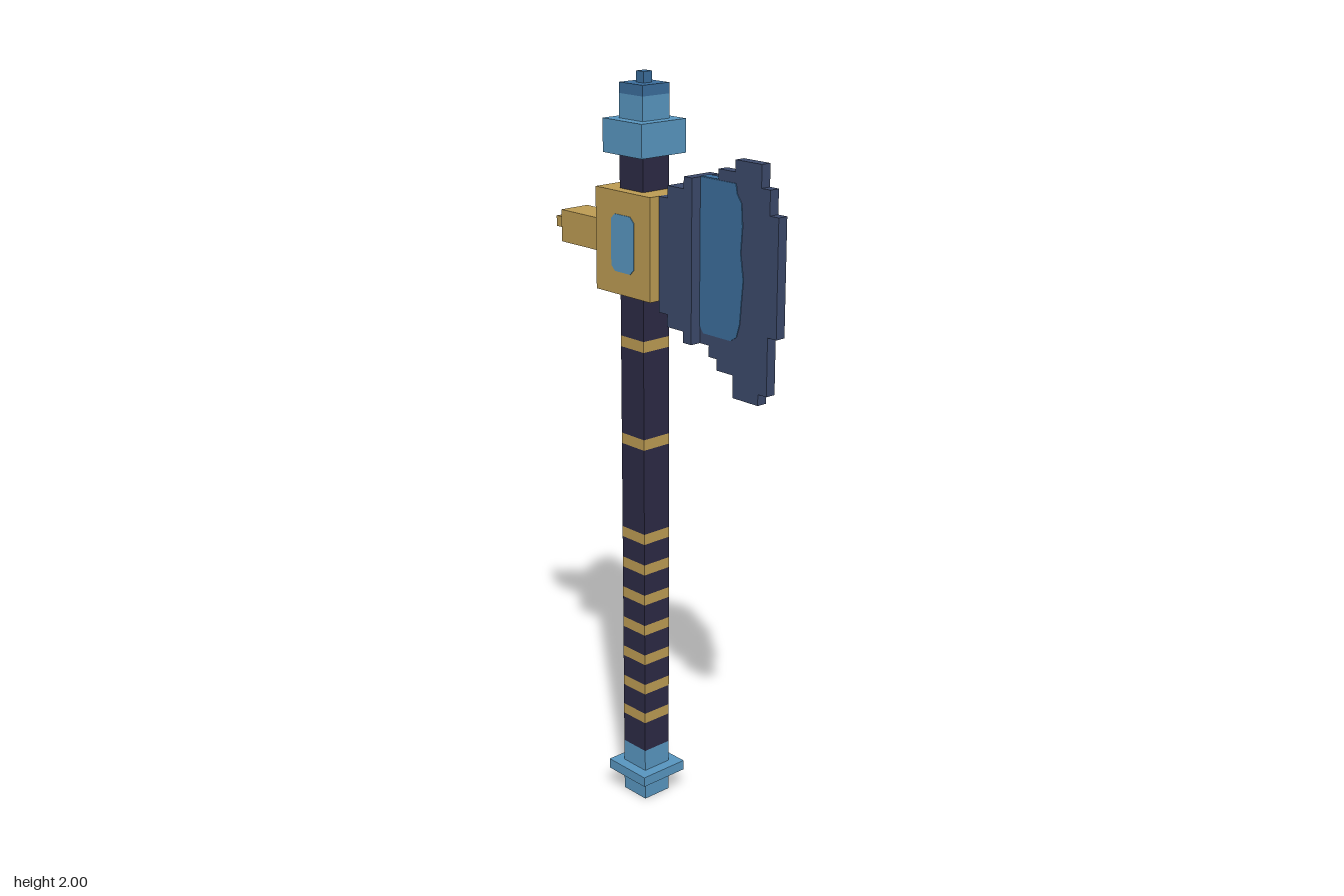
import * as THREE from 'three';

const material = (name, color) => {
  const m = new THREE.MeshStandardMaterial({ color });
  m.name = name;
  return m;
};

export function createModel() {
  const axe = new THREE.Group();
  axe.name = 'battleAxe';

  const gold = material('gold', 0xbd9c53);
  const lightBlue = material('lightBlue', 0x5896c0);
  const midBlue = material('midBlue', 0x3b6d9c);
  const steel = material('darkSteel', 0x3c4a6b);
  const wood = material('darkShaft', 0x2c2a45);

  const AXIS = -0.074; // z of the shaft's centre line
  const SHAFT = 0.088, WIDE = 0.147, THIN = 0.028;

  function add(name, geometry, mat) {
    const mesh = new THREE.Mesh(geometry, mat);
    mesh.name = name;
    axe.add(mesh);
    return mesh;
  }

  // Box given by its width and its y and z ranges
  function box(name, mat, width, y0, y1, z0, z1) {
    const mesh = add(name, new THREE.BoxGeometry(width, y1 - y0, z1 - z0), mat);
    mesh.position.set(0, (y0 + y1) / 2, (z0 + z1) / 2);
    return mesh;
  }

  // Square block centred on the shaft
  const block = (name, mat, width, y0, y1) =>
    box(name, mat, width, y0, y1, AXIS - width / 2, AXIS + width / 2);

  // Side outline of [z, y] points, extruded across x and centred at x
  function slab(name, mat, points, thickness, x = 0) {
    const shape = new THREE.Shape(points.map(([z, y]) => new THREE.Vector2(z, y)));
    const geometry = new THREE.ExtrudeGeometry(shape, { depth: thickness, bevelEnabled: false });
    geometry.translate(0, 0, -thickness / 2);
    geometry.rotateY(-Math.PI / 2);
    add(name, geometry, mat).position.x = x;
  }

  // Stepped outline from columns of [z0, z1, bottom, top], ordered along z
  const stepped = (columns) => [
    ...columns.flatMap(([z0, z1, bottom]) => [[z0, bottom], [z1, bottom]]),
    ...[...columns].reverse().flatMap(([z0, z1, , top]) => [[z1, top], [z0, top]]),
  ];

  // Pommel
  block('pommel', lightBlue, SHAFT, 0, 0.15);
  block('pommelFlange', lightBlue, WIDE, 0.061, 0.089);

  // Shaft with flush gold bands
  const bands = [0.236, 0.324, 0.413, 0.501, 0.59, 0.678, 0.766, 1.031, 1.296];
  let y = 0.15;
  for (const b of bands) {
    block('shaftSegment', wood, SHAFT, y, b);
    block('shaftBand', gold, SHAFT, b, b + 0.029);
    y = b + 0.029;
  }
  block('shaftSegment', wood, SHAFT, y, 1.8);

  // Top collar, neck and finial
  block('topCollar', lightBlue, WIDE, 1.799, 1.884);
  block('topNeck', lightBlue, SHAFT, 1.884, 1.945);
  block('topCap', midBlue, SHAFT, 1.945, 1.972);
  block('finial', midBlue, THIN, 1.972, 2);

  // Gold head socket and rear spike
  box('headSocket', gold, WIDE, 1.444, 1.709, -0.178, 0.029);
  box('rearSpike', gold, SHAFT, 1.534, 1.619, -0.354, -0.178);
  box('rearSpikeTip', gold, THIN, 1.562, 1.59, -0.412, -0.354);

  // Blade: thick root and thin cutting part
  slab('bladeRoot', steel, stepped([
    [0.029, 0.06, 1.415, 1.709],
    [0.06, 0.119, 1.383, 1.74],
    [0.119, 0.148, 1.354, 1.77],
  ]), SHAFT);
  slab('bladeEdge', steel, stepped([
    [0.148, 0.18, 1.354, 1.77],
    [0.18, 0.209, 1.325, 1.77],
    [0.209, 0.266, 1.296, 1.797],
    [0.266, 0.354, 1.238, 1.826],
    [0.354, 0.383, 1.267, 1.77],
    [0.383, 0.412, 1.415, 1.709],
  ]), THIN);
  box('bladeInlayTop', midBlue, THIN, 1.769, 1.772, 0.148, 0.209);

  // Side inlays on the blade and gems on the socket
  const inlay = [
    [0.148, 1.77], [0.27, 1.77], [0.275, 1.745], [0.29, 1.725], [0.294, 1.67],
    [0.289, 1.605], [0.299, 1.54], [0.293, 1.48], [0.289, 1.43], [0.278, 1.395],
    [0.258, 1.382], [0.162, 1.382], [0.148, 1.398],
  ];
  const c = 0.014;
  const [z0, z1, g0, g1] = [AXIS - 0.043, AXIS + 0.043, 1.503, 1.65];
  const gem = [
    [z0 + c, g0], [z1 - c, g0], [z1, g0 + c], [z1, g1 - c],
    [z1 - c, g1], [z0 + c, g1], [z0, g1 - c], [z0, g0 + c],
  ];
  for (const side of [-1, 1]) {
    slab('bladeInlay', midBlue, inlay, 0.004, side * THIN / 2);
    slab('socketGem', lightBlue, gem, 0.004, side * WIDE / 2);
  }

  return axe;
}
